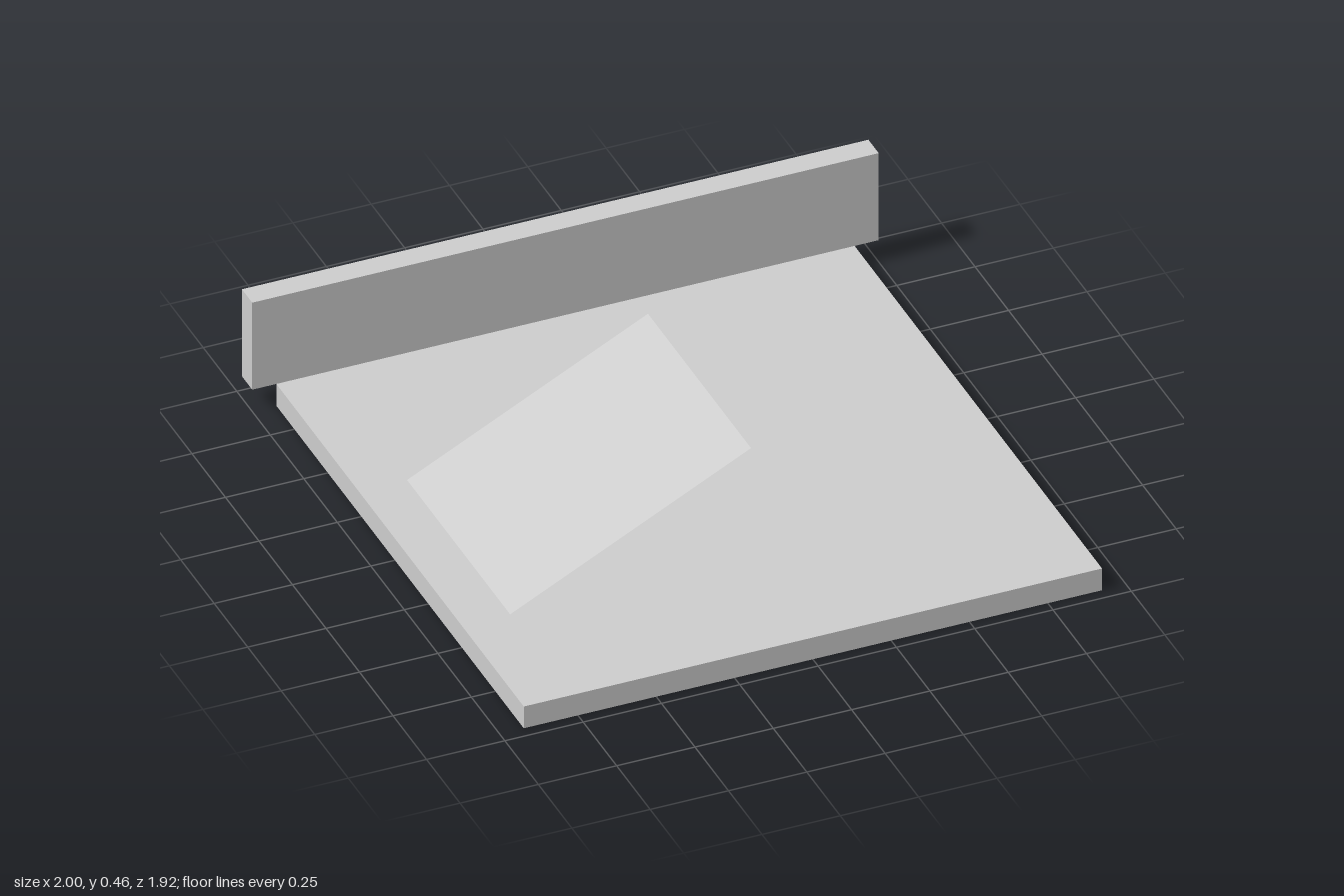
import * as THREE from 'three';

const U = 2 / 26; // one module; the back board is 26 modules wide

export function createModel() {
  const group = new THREE.Group();
  const grey = new THREE.MeshStandardMaterial({ color: 0xcccccc, side: THREE.DoubleSide });
  grey.name = 'light grey';

  function add(name, geometry, x, y, z) {
    const mesh = new THREE.Mesh(geometry, grey);
    mesh.name = name;
    mesh.position.set(x * U, y * U, z * U);
    group.add(mesh);
    return mesh;
  }

  // square floor slab
  add('base', new THREE.BoxGeometry(24 * U, U, 24 * U), 0, 0.5, 0.5);

  // upright board along the back, resting just behind the slab's top edge
  add('backBoard', new THREE.BoxGeometry(26 * U, 4 * U, U), 0, 3, -12);

  // thin sloping sheet, rising from the slab towards the middle
  const run = 10, rise = 5;
  const sheet = new THREE.PlaneGeometry(Math.hypot(run, rise) * U, 10 * U);
  sheet.rotateX(-Math.PI / 2);
  sheet.rotateZ(Math.atan2(rise, run));
  add('ramp', sheet, -run / 2, 1 + rise / 2, 1.5);

  return group;
}
